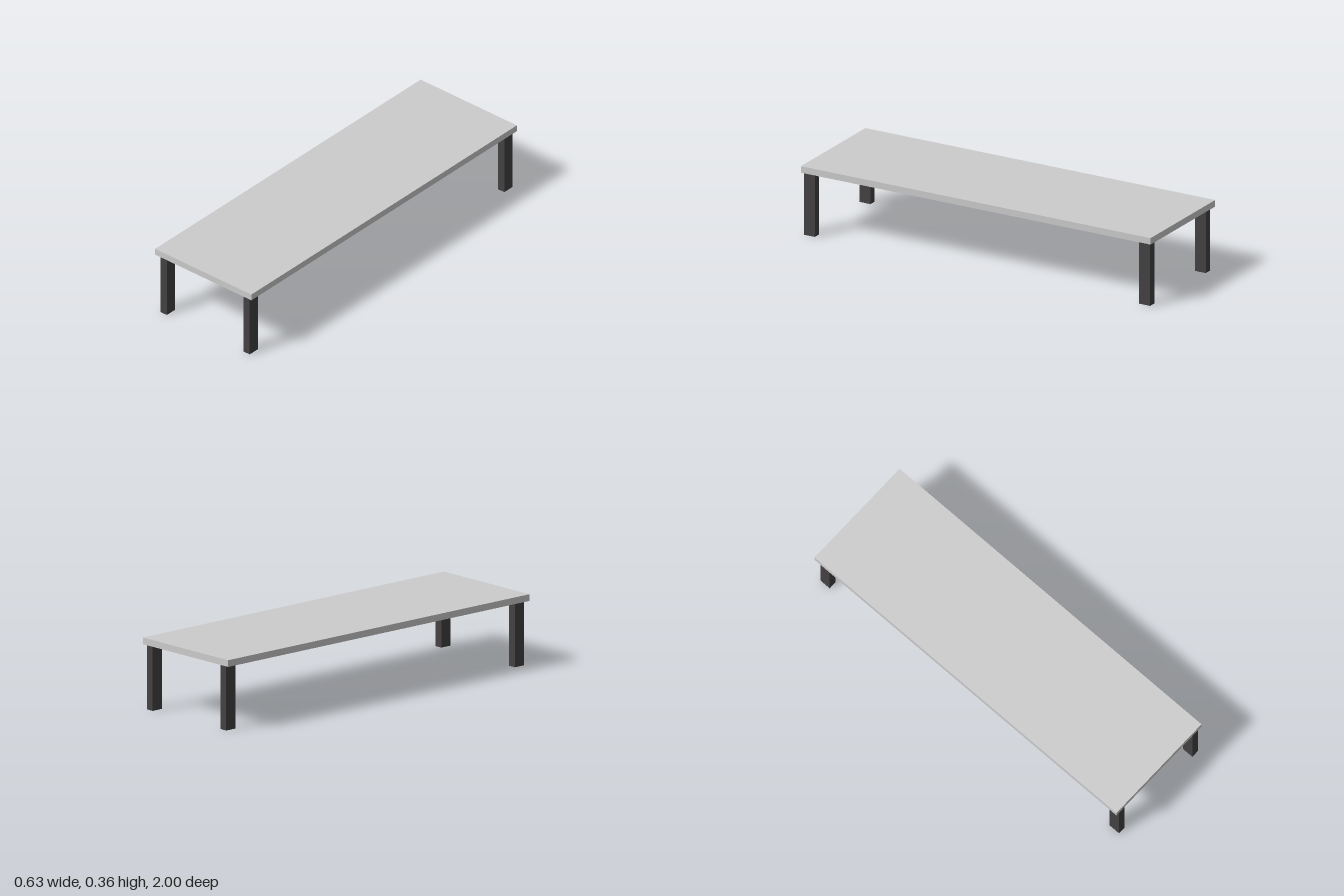
import * as THREE from 'three';

export function createModel() {
  const model = new THREE.Group();
  model.name = 'lowTable';
  const topMaterial = new THREE.MeshStandardMaterial({ color: 0xcccccc });
  const legMaterial = new THREE.MeshStandardMaterial({ color: 0x434141 });

  const legHeight = 0.33;
  const topThickness = 0.034;

  // Flat slab top
  const top = new THREE.Mesh(new THREE.BoxGeometry(0.626, topThickness, 2), topMaterial);
  top.name = 'tableTop';
  top.position.y = legHeight + topThickness / 2;
  model.add(top);

  // Four rectangular legs, set slightly off centre under the slab
  const legGeometry = new THREE.BoxGeometry(0.041, legHeight, 0.062);
  for (const [side, x] of [['Left', 0.275], ['Right', -0.264]]) {
    for (const [end, z] of [['front', 0.961], ['back', -0.956]]) {
      const leg = new THREE.Mesh(legGeometry, legMaterial);
      leg.name = `${end}${side}Leg`;
      leg.position.set(x, legHeight / 2, z);
      model.add(leg);
    }
  }
  return model;
}
